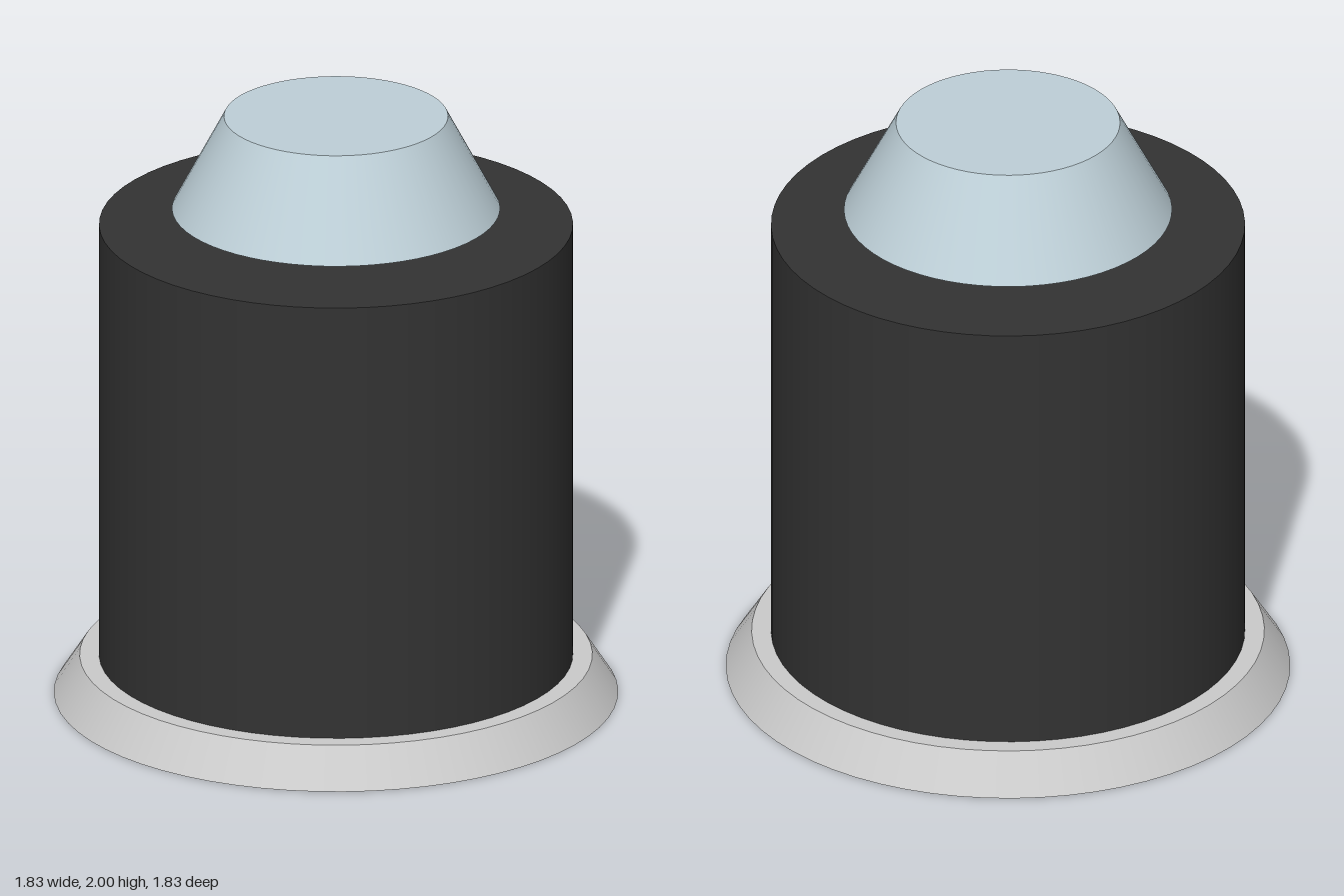
import * as THREE from 'three';

const SEGMENTS = 64;

// Adds a closed, smooth round section standing between two heights.
function addSection(group, name, rTop, rBottom, y0, y1, color) {
  const geometry = new THREE.CylinderGeometry(rTop, rBottom, y1 - y0, SEGMENTS);
  const mesh = new THREE.Mesh(geometry, new THREE.MeshStandardMaterial({ color }));
  mesh.name = name;
  mesh.position.y = (y0 + y1) / 2;
  group.add(mesh);
}

export function createModel() {
  const model = new THREE.Group();
  model.name = 'cylindricalUnit';

  // Bevelled foot
  addSection(model, 'base', 0.833, 0.917, 0, 0.13, 0xcccccc);
  // Dark drum
  addSection(model, 'body', 0.77, 0.77, 0.13, 1.625, 0x333333);
  // Tapered cap, floating just above the drum
  addSection(model, 'cap', 0.364, 0.533, 1.68, 2, 0xbed0d8);

  return model;
}
